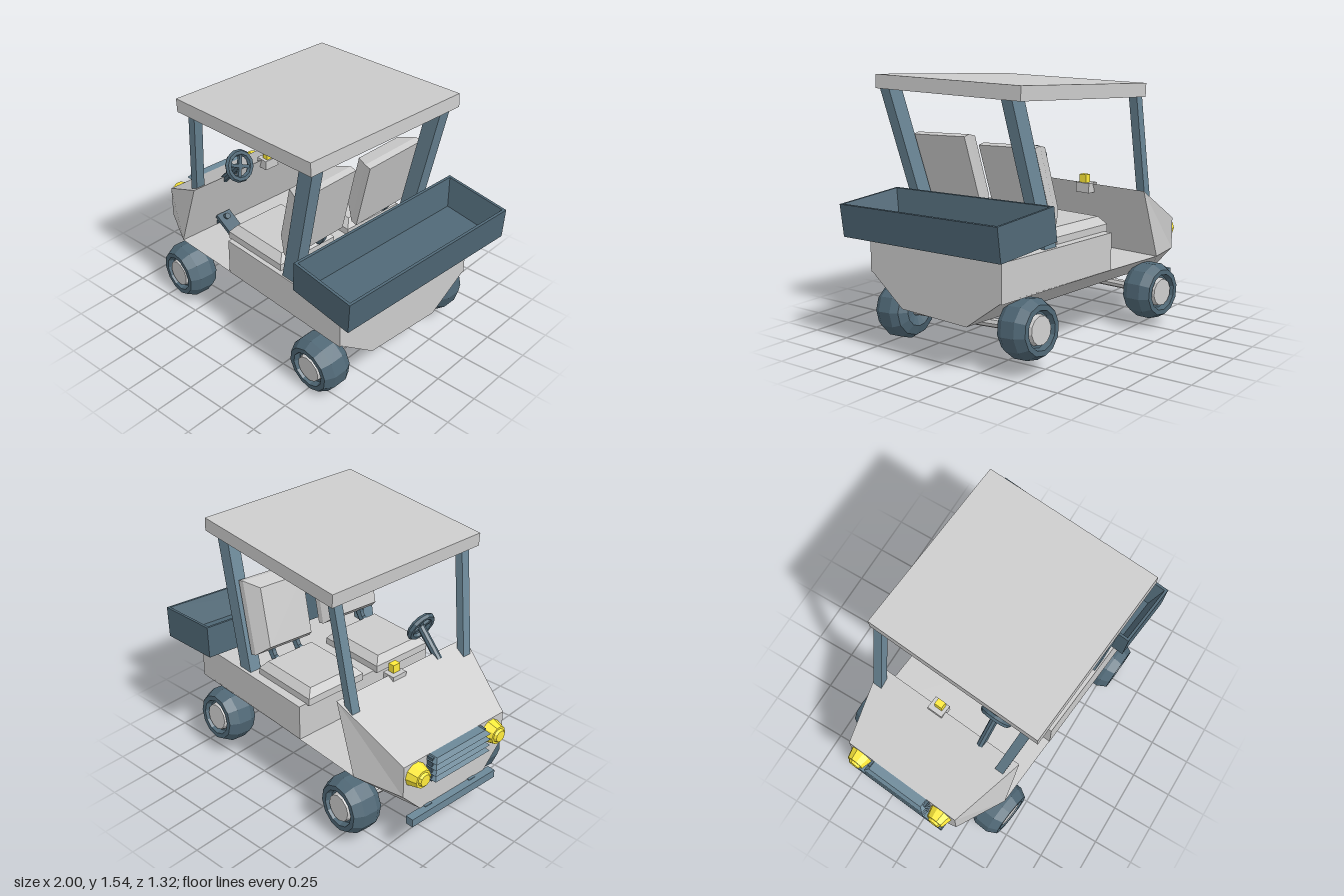
import * as THREE from 'three';

const mat = (color) => new THREE.MeshStandardMaterial({ color, flatShading: true, side: THREE.DoubleSide });
const V = (x, y, z) => new THREE.Vector3(x, y, z);

// Closed flat-shaded solid through rings of equal corner count, capped at both ends
function loft(rings) {
  const n = rings[0].length, tris = [];
  for (let r = 0; r < rings.length - 1; r++)
    for (let i = 0; i < n; i++) {
      const j = (i + 1) % n, a = rings[r], b = rings[r + 1];
      tris.push([a[i], a[j], b[j]], [a[i], b[j], b[i]]);
    }
  const first = rings[0], last = rings[rings.length - 1];
  for (let i = 1; i < n - 1; i++)
    tris.push([first[0], first[i + 1], first[i]], [last[0], last[i], last[i + 1]]);
  // turn the faces outward
  const volume = tris.reduce((s, [a, b, c]) => s + a.dot(b.clone().cross(c)), 0);
  const pts = tris.flatMap(([a, b, c]) => (volume < 0 ? [a, c, b] : [a, b, c]));
  const g = new THREE.BufferGeometry().setFromPoints(pts);
  g.computeVertexNormals();
  return g;
}

// Horizontal rectangle at height y, and upright rectangle at position x
const flatRect = (y, x, z, hx, hz) =>
  [V(x - hx, y, z - hz), V(x + hx, y, z - hz), V(x + hx, y, z + hz), V(x - hx, y, z + hz)];
const uprightRect = (x, hy, hz) => [V(x, -hy, -hz), V(x, hy, -hz), V(x, hy, hz), V(x, -hy, hz)];

export function createModel() {
  const model = new THREE.Group();
  const cart = new THREE.Group();
  cart.name = 'cart';
  cart.rotation.y = -0.092;
  model.add(cart);

  const grey = mat(0xcccccc), dark = mat(0x4f6775), steel = mat(0x6c8898), yellow = mat(0xffeb3b);

  function add(parent, name, geometry, material, pos = [0, 0, 0], rot = [0, 0, 0]) {
    const m = new THREE.Mesh(geometry, material);
    m.name = name;
    m.position.set(...pos);
    m.rotation.set(...rot);
    parent.add(m);
    return m;
  }
  const box = (...s) => new THREE.BoxGeometry(...s);
  // Round bar between two points
  function rod(parent, name, a, b, radius, sides, material) {
    const d = b.clone().sub(a);
    const m = add(parent, name, new THREE.CylinderGeometry(radius, radius, d.length(), sides), material);
    m.position.copy(a).add(b).multiplyScalar(0.5);
    m.quaternion.setFromUnitVectors(V(0, 1, 0), d.normalize());
    return m;
  }

  // Lower hull, tapering to the underside and to the nose
  const section = (x, z, top, half) =>
    [V(x, top, z - half), V(x, top, z + half), V(x, 0.258, z + 0.25), V(x, 0.258, z - 0.25)];
  add(cart, 'lowerBody', loft([
    section(-0.905, -0.047, 0.41, 0.39),
    section(-0.61, -0.02, 0.425, 0.505),
    section(0.775, -0.017, 0.44, 0.505),
  ]), grey);

  // Hood with sloping top and dash panel
  add(cart, 'hood', loft([
    [V(-0.905, 0.41, -0.437), V(-0.61, 0.425, -0.525), V(-0.61, 0.425, 0.485), V(-0.905, 0.41, 0.343)],
    [V(-0.905, 0.605, -0.437), V(-0.47, 0.845, -0.52), V(-0.47, 0.845, 0.48), V(-0.905, 0.605, 0.343)],
  ]), grey);
  add(cart, 'seatBase', box(0.93, 0.22, 1.01), grey, [0.31, 0.54, -0.017]);

  // Roof and its sheared posts
  add(cart, 'roof', box(1.09, 0.08, 1.1), grey, [0.09, 1.473, 0.02], [0, 0, 0.055]);
  const post = (name, b, t, hx, hz) =>
    add(cart, name, loft([flatRect(b[1], b[0], b[2], hx, hz), flatRect(t[1], t[0], t[2], hx, hz)]), steel);
  post('frontPostLeft', [-0.54, 0.77, 0.4], [-0.396, 1.42, 0.49], 0.026, 0.028);
  post('frontPostRight', [-0.545, 0.77, -0.467], [-0.415, 1.42, -0.483], 0.026, 0.028);
  post('rearPostLeft', [0.352, 0.64, 0.44], [0.575, 1.47, 0.51], 0.048, 0.038);
  post('rearPostRight', [0.36, 0.64, -0.465], [0.58, 1.47, -0.425], 0.048, 0.038);

  // Seats: bevelled cushion, leaning back and curved straps
  for (const [side, z, y] of [['Left', 0.255, 1.0], ['Right', -0.265, 0.985]]) {
    add(cart, 'cushion' + side, loft([
      flatRect(0.645, 0.045, z, 0.225, 0.205),
      flatRect(0.69, 0.045, z, 0.225, 0.205),
      flatRect(0.735, 0.045, z, 0.19, 0.165),
    ]), grey);
    add(cart, 'backrest' + side, loft([
      uprightRect(-0.065, 0.18, 0.155),
      uprightRect(0.025, 0.225, 0.205),
      uprightRect(0.065, 0.225, 0.205),
    ]), grey, [0.32, y, z], [0.05, 0, -0.26]);
    for (const dz of [-0.09, 0.09]) {
      const path = new THREE.CatmullRomCurve3([V(0.2, 0.7, 0), V(0.27, 0.72, 0), V(0.3, 0.78, 0), V(0.31, 0.86, 0)]);
      add(cart, 'seatStrap' + side, new THREE.TubeGeometry(path, 6, 0.025, 6), dark, [0, 0, z + dz]);
    }
  }

  // Cargo tray: open box with sloping inner walls
  add(cart, 'cargoTray', loft([
    flatRect(-0.095, 0, 0, 0.214, 0.608),
    flatRect(0.095, 0, 0, 0.214, 0.608),
    flatRect(0.095, 0, 0, 0.198, 0.592),
    flatRect(-0.065, 0, 0, 0.15, 0.545),
  ]), dark, [0.709, 0.785, -0.045], [0.041, -0.014, -0.09]);

  // Steering column and wheel
  const hub = V(-0.35, 0.965, 0.23), foot = V(-0.5, 0.81, 0.23);
  rod(cart, 'steeringColumn', foot, hub, 0.024, 8, dark);
  const rim = add(cart, 'steeringWheel', new THREE.TorusGeometry(0.08, 0.02, 6, 12), dark);
  rim.position.copy(hub);
  rim.quaternion.setFromUnitVectors(V(0, 0, 1), V(0.92, 0.38, 0).normalize());
  for (const a of [0, Math.PI / 2])
    add(rim, 'steeringSpoke', box(0.15, 0.02, 0.02), dark, [0, 0, 0], [0, 0, a]);

  // Pedal and dash switch
  rod(cart, 'pedalLever', V(-0.62, 0.44, 0.21), V(-0.51, 0.53, 0.21), 0.02, 6, dark);
  add(cart, 'pedal', box(0.14, 0.025, 0.1), dark, [-0.5, 0.49, 0.21], [0, 0, -0.5]);
  add(cart, 'dashSwitchBase', box(0.08, 0.06, 0.1), grey, [-0.47, 0.82, -0.09]);
  add(cart, 'dashSwitch', box(0.04, 0.07, 0.05), yellow, [-0.46, 0.865, -0.085]);

  // Nose: headlights, slatted grille, bumper
  for (const z of [0.24, -0.353]) {
    const lamp = new THREE.CylinderGeometry(0.055, 0.074, 0.07, 10);
    add(cart, 'headlight', lamp, yellow, [-0.935, 0.525, z], [0, 0, Math.PI / 2]);
    add(cart, 'headlightLens', new THREE.CylinderGeometry(0.035, 0.045, 0.02, 10), yellow,
      [-0.975, 0.525, z], [0, 0, Math.PI / 2]);
  }
  add(cart, 'grille', box(0.05, 0.15, 0.42), dark, [-0.92, 0.525, -0.055]);
  for (let i = 0; i < 4; i++) {
    const y = 0.465 + i * 0.038;
    add(cart, 'grilleSlat', loft([
      flatRect(y, -0.94, -0.055, 0.04, 0.215),
      flatRect(y + 0.026, -0.93, -0.055, 0.03, 0.19),
    ]), steel);
  }
  add(cart, 'bumper', box(0.05, 0.05, 0.66), steel, [-0.925, 0.24, -0.075]);
  for (const z of [-0.25, 0.1])
    add(cart, 'bumperBracket', box(0.08, 0.03, 0.05), steel, [-0.88, 0.255, z]);

  // Axles with a faceted tyre and hub at each end
  const profile = [[0.03, -0.09], [0.09, -0.11], [0.145, -0.085], [0.17, -0.04], [0.17, 0.05],
    [0.14, 0.105], [0.11, 0.105], [0.1, 0.07], [0, 0.07]].map((p) => new THREE.Vector2(...p));
  const tyre = new THREE.LatheGeometry(profile, 12);
  const cap = new THREE.CylinderGeometry(0.08, 0.092, 0.06, 12);
  const axle = (name, left, right) => {
    rod(model, name + 'Axle', right, left, 0.027, 8, grey);
    for (const [end, other] of [[left, right], [right, left]]) {
      const wheel = new THREE.Group();
      wheel.name = name + 'Wheel';
      wheel.position.copy(end);
      wheel.quaternion.setFromUnitVectors(V(0, 1, 0), end.clone().sub(other).normalize());
      add(wheel, 'tyre', tyre, dark);
      add(wheel, 'hub', cap, grey, [0, 0.07, 0]);
      model.add(wheel);
    }
  };
  axle('rear', V(0.525, 0.175, 0.48), V(0.6, 0.25, -0.45));
  axle('front', V(-0.65, 0.195, 0.375), V(-0.525, 0.22, -0.55));

  return model;
}
